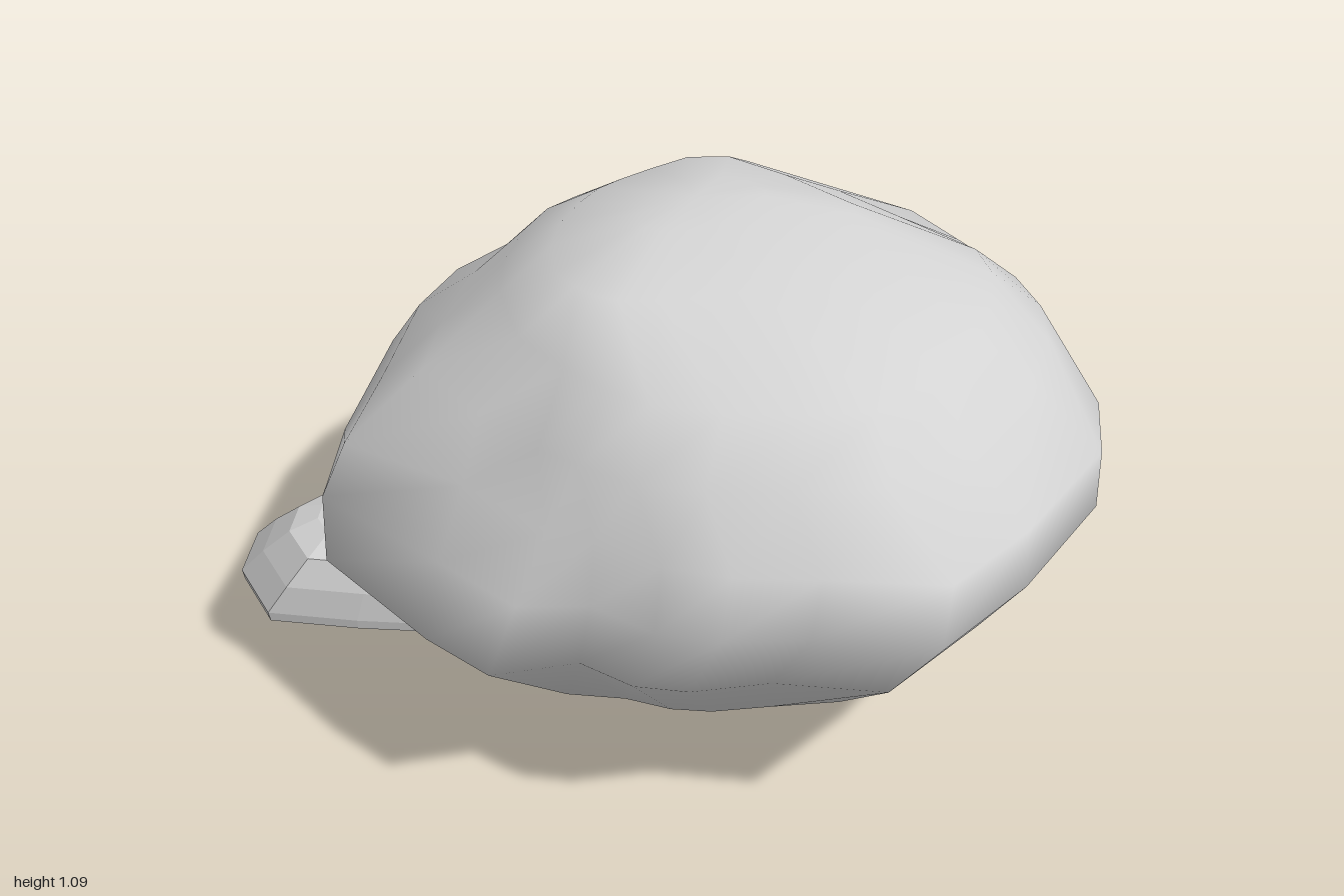
import * as THREE from 'three';

// Skin a stack of closed rings (bottom to top) and close both ends with a fan
function loft(rings, bottom, top) {
  const n = rings[0].length;
  const pos = [...rings.flat(), bottom, top].flat();
  const b = rings.length * n, t = b + 1, last = b - n;
  const index = [];
  for (let j = 0; j < n; j++) {
    const k = (j + 1) % n;
    for (let i = 0; i < rings.length - 1; i++) {
      const a = i * n + j, d = i * n + k;
      index.push(a, a + n, d, d, a + n, d + n);
    }
    index.push(j, k, b, last + j, t, last + k);
  }
  const geo = new THREE.BufferGeometry();
  geo.setAttribute('position', new THREE.Float32BufferAttribute(pos, 3));
  geo.setIndex(index);
  geo.computeVertexNormals();
  return geo;
}

// Boulder plan outlines [x, z]: wide belly, lobed shoulder and flat crown
const BELLY = [
  [-0.89, 0.03], [-0.86, -0.24], [-0.68, -0.5], [-0.4, -0.7], [-0.05, -0.78], [0.14, -0.85],
  [0.45, -0.79], [0.6, -0.7], [0.72, -0.53], [0.86, -0.36], [0.96, -0.02], [1, 0.28],
  [0.8, 0.43], [0.7, 0.57], [0.6, 0.64], [0.45, 0.67], [0.35, 0.83], [0.14, 0.85],
  [-0.26, 0.84], [-0.46, 0.68], [-0.75, 0.32], [-0.86, 0.11],
];
const SHOULDER = [
  [-0.89, -0.04], [-0.88, -0.28], [-0.66, -0.49], [-0.4, -0.74], [-0.05, -0.85], [0.14, -0.76],
  [0.38, -0.64], [0.57, -0.59], [0.73, -0.52], [0.87, -0.36], [0.97, -0.01], [1, 0.25],
  [0.82, 0.43], [0.7, 0.56], [0.58, 0.64], [0.42, 0.68], [0.33, 0.73], [0.08, 0.75],
  [-0.26, 0.84], [-0.48, 0.6], [-0.75, 0.32], [-0.86, 0.13],
];
const CROWN = [
  [-0.43, 0], [-0.43, -0.15], [-0.42, -0.32], [-0.32, -0.44], [-0.05, -0.48], [0.15, -0.48],
  [0.38, -0.48], [0.48, -0.42], [0.57, -0.32], [0.66, -0.18], [0.72, 0], [0.74, 0.2],
  [0.66, 0.32], [0.55, 0.43], [0.43, 0.51], [0.32, 0.54], [0.2, 0.54], [0.04, 0.53],
  [-0.15, 0.43], [-0.27, 0.33], [-0.37, 0.19], [-0.42, 0.09],
];
const BASE = BELLY.map(([x, z]) => {
  const a = Math.atan2(z, x);
  return [Math.cos(a), Math.sin(a)];
});

// Scale an outline so that it reaches exactly 1 on each of its four sides
function toUnit(outline) {
  const reach = (axis, sign) => Math.max(...outline.map((p) => p[axis] * sign));
  return outline.map((p) => p.map((v, axis) => v / reach(axis, v < 0 ? -1 : 1)));
}
const SHAPES = [BASE, BELLY, SHOULDER, CROWN].map(toUnit);

// Height, reach to -x, +x, -z, +z, and position in the list of shapes
const LEVELS = [
  [0.025, 0.38, 0.15, 0.2, 0.27, 0],
  [0.045, 0.46, 0.37, 0.36, 0.32, 0],
  [0.1, 0.58, 0.51, 0.52, 0.44, 0],
  [0.2, 0.73, 0.67, 0.67, 0.63, 0.4],
  [0.4, 0.89, 0.88, 0.85, 0.86, 1],
  [0.56, 0.89, 1, 0.84, 0.85, 1.45],
  [0.69, 0.77, 0.99, 0.85, 0.8, 2],
  [0.82, 0.57, 0.81, 0.74, 0.69, 2.5],
  [0.95, 0.43, 0.74, 0.48, 0.54, 3],
  [1.05, 0.26, 0.35, 0.29, 0.42, 3],
  [1.085, 0.09, 0.12, 0.14, 0.18, 3],
];

function boulderGeometry() {
  const { lerp } = THREE.MathUtils;
  const rings = LEVELS.map(([y, xn, xp, zn, zp, s]) => {
    const i = Math.min(Math.floor(s), 2);
    return SHAPES[i].map(([ax, az], j) => {
      const [bx, bz] = SHAPES[i + 1][j];
      const x = lerp(ax, bx, s - i), z = lerp(az, bz, s - i);
      return [x * (x < 0 ? xn : xp), y, z * (z < 0 ? zn : zp)];
    });
  });
  return loft(rings, [-0.08, 0.024, 0.03], [-0.01, 1.09, 0]);
}

// Small stone: one outline shrinking and leaning towards the boulder as it rises
const STONE = [
  [-1, 0.43], [-0.86, 0.29], [-0.72, 0.28], [-0.5, 0.3], [-0.385, 0.42],
  [-0.385, 0.55], [-0.49, 0.65], [-0.66, 0.79], [-0.86, 0.74], [-0.98, 0.62],
];
function stoneGeometry() {
  const cx = -0.69, cz = 0.53;
  const levels = [[0, 0.98, 0], [0.025, 1, 0], [0.1, 0.86, 0.04], [0.17, 0.66, 0.07], [0.195, 0.36, 0.05]];
  const rings = levels.map(([y, s, dx]) =>
    STONE.map(([x, z]) => [cx + (x - cx) * s + dx, y, cz + (z - cz) * s]));
  return loft(rings, [cx, 0, cz], [cx + 0.05, 0.2, cz]);
}

export function createModel() {
  const group = new THREE.Group();
  const rock = new THREE.MeshStandardMaterial({ color: 0xd3d3d3 });
  rock.name = 'grey rock';

  const boulder = new THREE.Mesh(boulderGeometry(), rock);
  boulder.name = 'boulder';

  // Faceted stone beside the boulder
  const facets = stoneGeometry().toNonIndexed();
  facets.computeVertexNormals();
  const stone = new THREE.Mesh(facets, rock);
  stone.name = 'smallStone';

  group.add(boulder, stone);
  return group;
}
